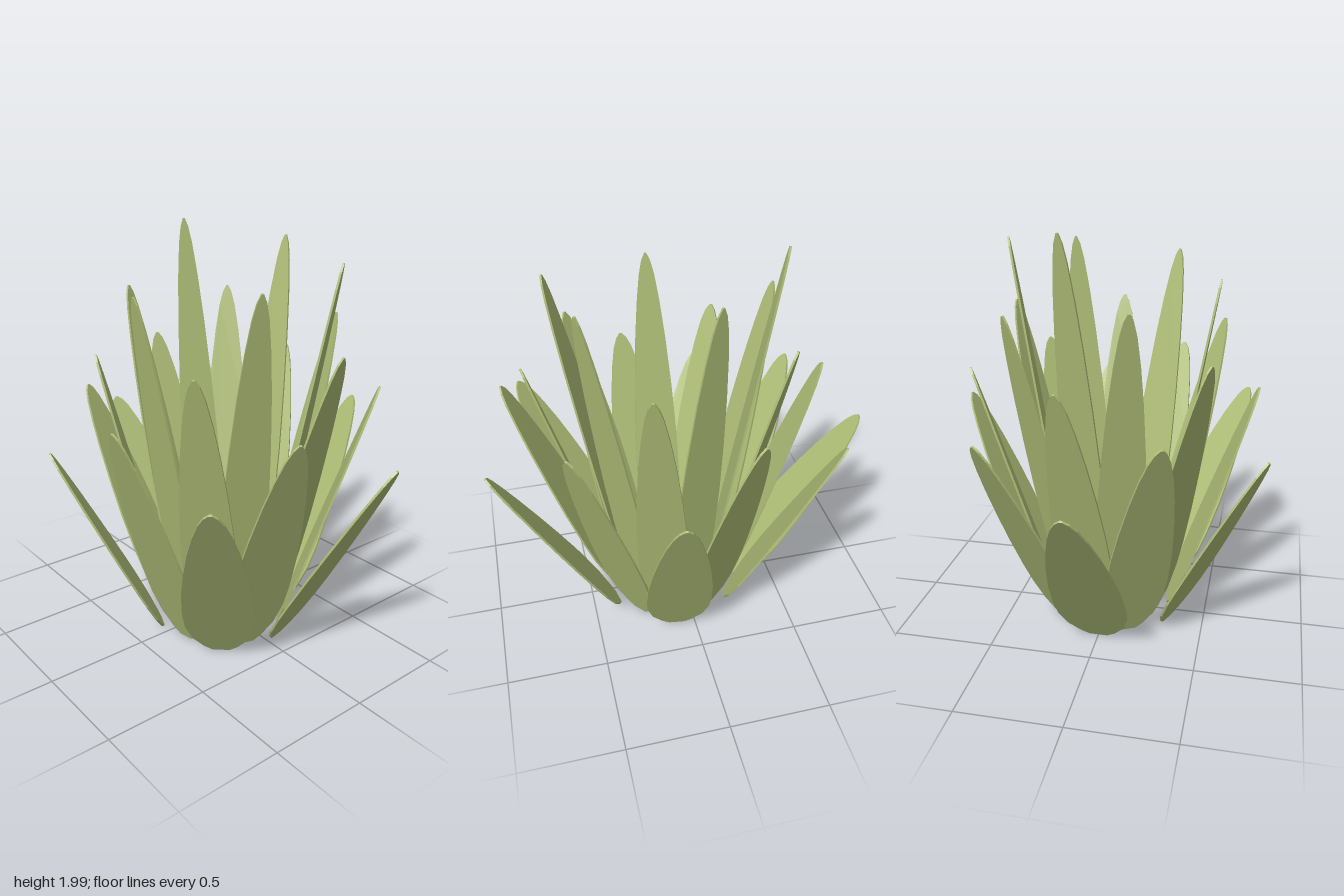
import * as THREE from 'three';

// Leaf tips, spiralling round the plant from the tall inner leaves to the short outer ones
const TIPS = [
  [-0.45, 2.0, -0.13], [-0.06, 1.93, -0.47], [0.5, 1.87, -0.29], [0.58, 1.81, 0.25],
  [0.05, 1.75, 0.51], [-0.5, 1.69, 0.18], [-0.42, 1.64, -0.39], [0.24, 1.58, -0.54],
  [0.73, 1.53, -0.07], [0.47, 1.48, 0.51], [-0.29, 1.43, 0.51], [-0.67, 1.38, -0.1],
  [-0.22, 1.34, -0.63], [0.6, 1.3, -0.47], [0.83, 1.25, 0.26], [0.16, 1.21, 0.71],
  [-0.66, 1.17, 0.35], [-0.68, 1.13, -0.46], [0.16, 1.09, -0.78], [0.95, 1.06, -0.2],
  [0.74, 1.03, 0.64], [-0.29, 1.0, 0.78], [-0.96, 0.96, 0],
];
const CENTRE_X = 0.05;
const THICKNESS = 0.01;

// Half-widths along the blade: [position 0..1, share of the greatest half-width]
const PROFILE = [
  [0, 0.25], [0.03, 0.48], [0.1, 0.8], [0.2, 0.97], [0.3, 1], [0.45, 0.95], [0.6, 0.83],
  [0.75, 0.66], [0.86, 0.49], [0.94, 0.32], [0.98, 0.18], [1, 0.04],
];

// Flat blade growing up +y from the origin
function bladeGeometry(length, width) {
  const right = PROFILE.map(([t, w]) => new THREE.Vector2(w * width / 2, t * length));
  const left = right.map((p) => new THREE.Vector2(-p.x, p.y)).reverse();
  const geometry = new THREE.ExtrudeGeometry(new THREE.Shape([...right, ...left]), {
    depth: THICKNESS, bevelEnabled: false,
  });
  return geometry.translate(0, 0, -THICKNESS / 2);
}

export function createModel() {
  const plant = new THREE.Group();
  plant.name = 'rosettePlant';
  const material = new THREE.MeshStandardMaterial({ color: 0xb0bf78 });

  TIPS.forEach(([x, y, z], i) => {
    const age = i / (TIPS.length - 1);
    const angle = Math.atan2(z, x - CENTRE_X);
    const radius = 0.18 + 0.17 * age;
    const base = new THREE.Vector3(
      CENTRE_X + radius * Math.cos(angle), 0.01, radius * Math.sin(angle));
    const axis = new THREE.Vector3(x, y, z).sub(base);

    const leaf = new THREE.Mesh(bladeGeometry(axis.length(), 0.21 + 0.14 * age), material);
    leaf.name = `leaf${i + 1}`;

    // Lean the blade outwards with its broad side facing the centre
    axis.normalize();
    const across = new THREE.Vector3(-Math.sin(angle), 0, Math.cos(angle));
    const facing = new THREE.Vector3().crossVectors(across, axis);
    leaf.quaternion.setFromRotationMatrix(new THREE.Matrix4().makeBasis(across, axis, facing));
    leaf.position.copy(base);
    plant.add(leaf);
  });
  return plant;
}
